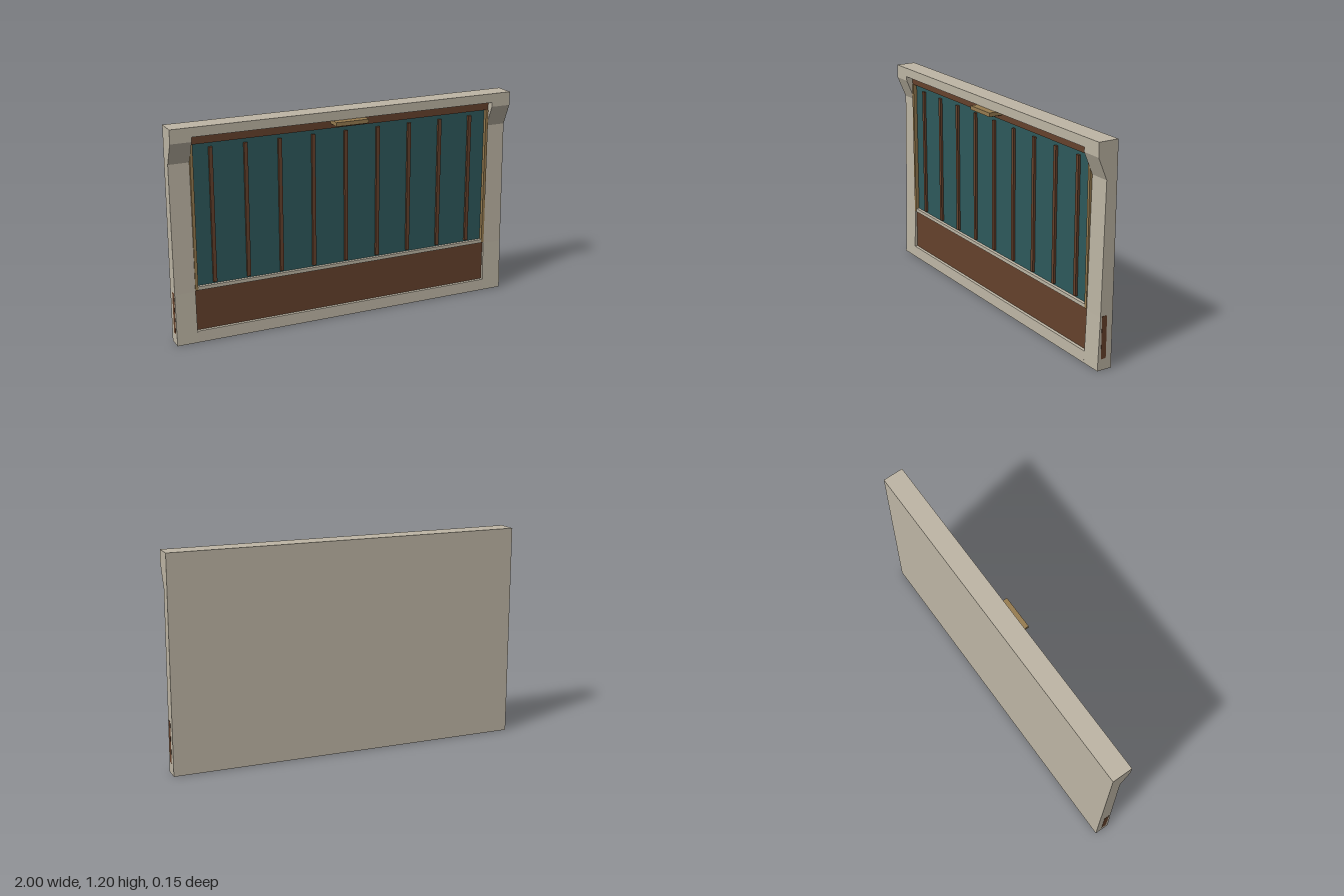
import * as THREE from 'three';

const mat = (name, color) => {
  const m = new THREE.MeshStandardMaterial({ color });
  m.name = name;
  return m;
};

export function createModel() {
  const cream = mat('cream plaster', 0xbeb6a5);
  const brown = mat('dark wood', 0x66422c);
  const teal = mat('teal panel', 0x2e5a5c);
  const tan = mat('tan trim', 0x977c50);

  const model = new THREE.Group();
  model.name = 'wallPanel';

  const add = (name, geometry, material) => {
    const mesh = new THREE.Mesh(geometry, material);
    mesh.name = name;
    model.add(mesh);
  };
  // Box given by its limits on each axis
  const box = (name, material, [x0, x1], [y0, y1], [z0, z1]) => {
    const g = new THREE.BoxGeometry(x1 - x0, y1 - y0, z1 - z0);
    g.translate((x0 + x1) / 2, (y0 + y1) / 2, (z0 + z1) / 2);
    add(name, g, material);
  };
  // Side profile of (z, y) points, swept along x
  const sweep = (name, points, x0, x1) => {
    const shape = new THREE.Shape(points.map(([z, y]) => new THREE.Vector2(z, y)));
    const g = new THREE.ExtrudeGeometry(shape, { depth: x1 - x0, bevelEnabled: false });
    g.rotateY(-Math.PI / 2).translate(x1, 0, 0);
    add(name, g, cream);
  };

  const W = 0.885, back = -0.075, top = 1.196;

  // End piers with battered foot and flared cornice
  const pier = [[back, 0], [0.01, 0], [0, 0.29], [-0.012, 1.0], [0.04, 1.12], [0.04, top], [back, top]];
  sweep('rightPier', pier, -1, -W);
  sweep('leftPier', pier, W, 1);

  // Wall between the piers: sill, recess, dividing ledge, recess, header
  sweep('recessedWall', [
    [back, 0], [0.01, 0], [0.008, 0.065], [-0.035, 0.065], [-0.035, 0.295], [0, 0.295],
    [0, 0.315], [-0.035, 0.315], [-0.035, 1.145], [0.04, 1.145], [0.04, top], [back, top],
  ], -W, W);

  // Lower beam runs through the piers and shows at both ends
  box('lowerBeam', brown, [-1.001, 1.001], [0.062, 0.295], [-0.04, -0.01]);

  // Upper panel with its frame
  box('upperPanel', teal, [-0.88, 0.88], [0.315, 1.1], [-0.036, -0.018]);
  box('topRail', brown, [-W, W], [1.095, 1.145], [-0.036, 0]);
  for (const s of [-1, 1]) {
    const x = s * 0.878;
    box(s < 0 ? 'rightTrim' : 'leftTrim', tan, [x - 0.008, x + 0.008], [0.297, 1.095], [-0.03, 0.003]);
  }

  // Nine upright battens
  for (let i = -4; i <= 4; i++) {
    const x = i * 0.1925;
    box('batten', brown, [x - 0.01, x + 0.01], [0.325, 1.07], [-0.025, -0.005]);
  }

  // Small fitting under the header
  box('fitting', tan, [-0.095, 0.095], [1.121, 1.143], [0, 0.077]);
  box('fittingBase', tan, [-0.085, 0.085], [1.117, 1.121], [0, 0.066]);

  return model;
}
